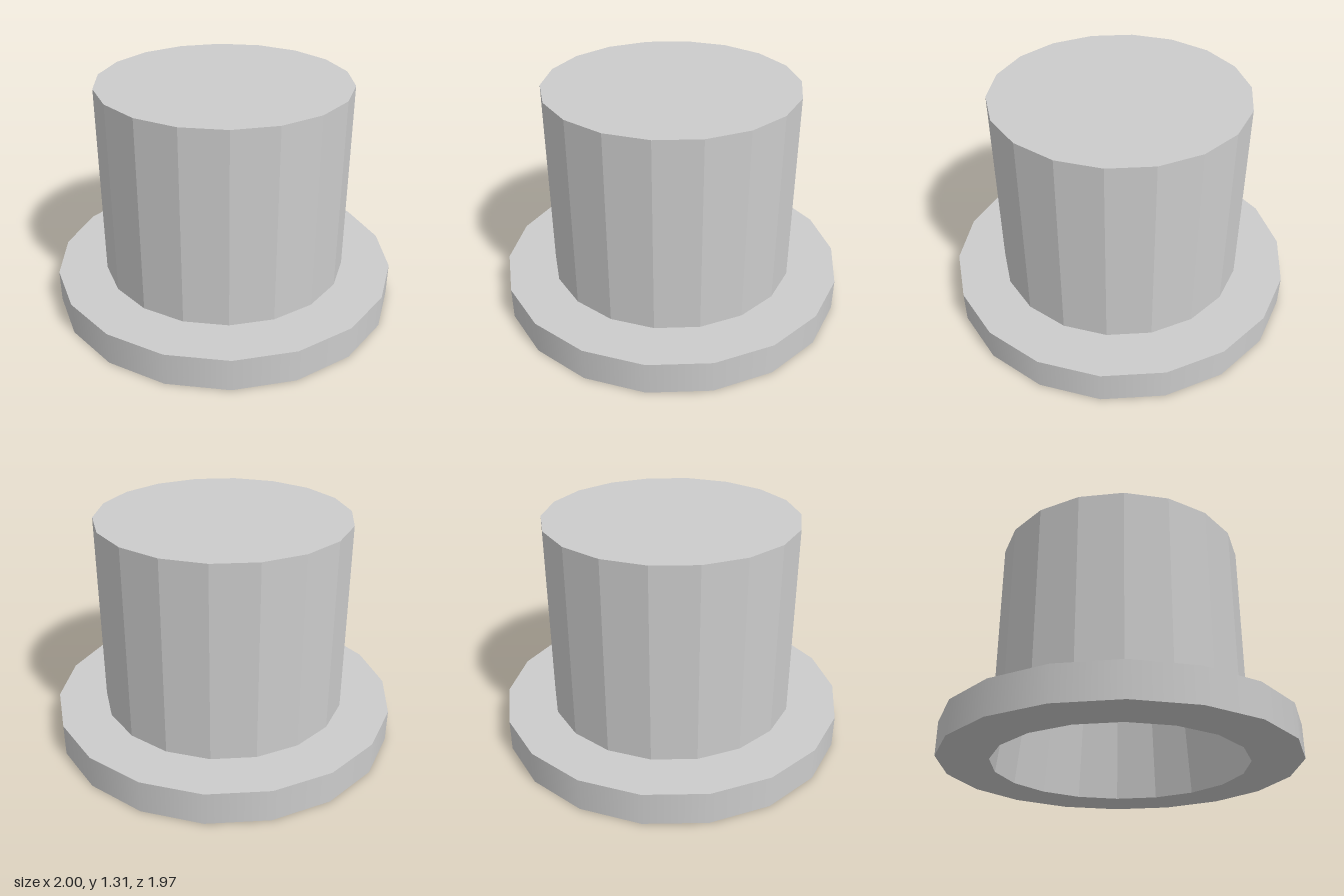
import * as THREE from 'three';

const SIDES = 18;
const BRIM_R = 1, CROWN_R = 0.716, POCKET_R = 0.65;
const BRIM_TOP = 0.19, CROWN_TOP = 1.31, POCKET_TOP = 0.58;

const smooth = new THREE.MeshStandardMaterial({ color: 0xcccccc });
const flat = new THREE.MeshStandardMaterial({ color: 0xcccccc, flatShading: true });
const inner = new THREE.MeshStandardMaterial({ color: 0xcccccc, flatShading: true, side: THREE.BackSide });

function add(group, name, geometry, material) {
  const mesh = new THREE.Mesh(geometry, material);
  mesh.name = name;
  group.add(mesh);
}

// Open-ended wall between two heights, with a corner on the x axis
function wall(rTop, rBottom, y0, y1) {
  return new THREE.CylinderGeometry(rTop, rBottom, y1 - y0, SIDES, 1, true, Math.PI / 2)
    .translate(0, (y0 + y1) / 2, 0);
}

// Horizontal face at height y; dir is 1 for up, -1 for down
function face(rIn, rOut, y, dir) {
  const g = rIn > 0 ? new THREE.RingGeometry(rIn, rOut, SIDES) : new THREE.CircleGeometry(rOut, SIDES);
  return g.rotateX(-dir * Math.PI / 2).translate(0, y, 0);
}

export function createModel() {
  const model = new THREE.Group();
  model.name = 'flangedCap';

  // Wide brim with a smooth rim
  const brim = new THREE.Group();
  brim.name = 'brim';
  add(brim, 'brimRim', wall(BRIM_R, BRIM_R, 0, BRIM_TOP), smooth);
  add(brim, 'brimTop', face(CROWN_R, BRIM_R, BRIM_TOP, 1), flat);
  add(brim, 'brimUnderside', face(CROWN_R, BRIM_R, 0, -1), flat);

  // Faceted crown
  const crown = new THREE.Group();
  crown.name = 'crown';
  add(crown, 'crownWall', wall(CROWN_R, CROWN_R, BRIM_TOP, CROWN_TOP), flat);
  add(crown, 'crownTop', face(0, CROWN_R, CROWN_TOP, 1), flat);

  // Tapered hollow open at the bottom
  const pocket = new THREE.Group();
  pocket.name = 'pocket';
  add(pocket, 'pocketWall', wall(POCKET_R, CROWN_R, 0, POCKET_TOP), inner);
  add(pocket, 'pocketCeiling', face(0, POCKET_R, POCKET_TOP, -1), flat);

  model.add(brim, crown, pocket);
  return model;
}
